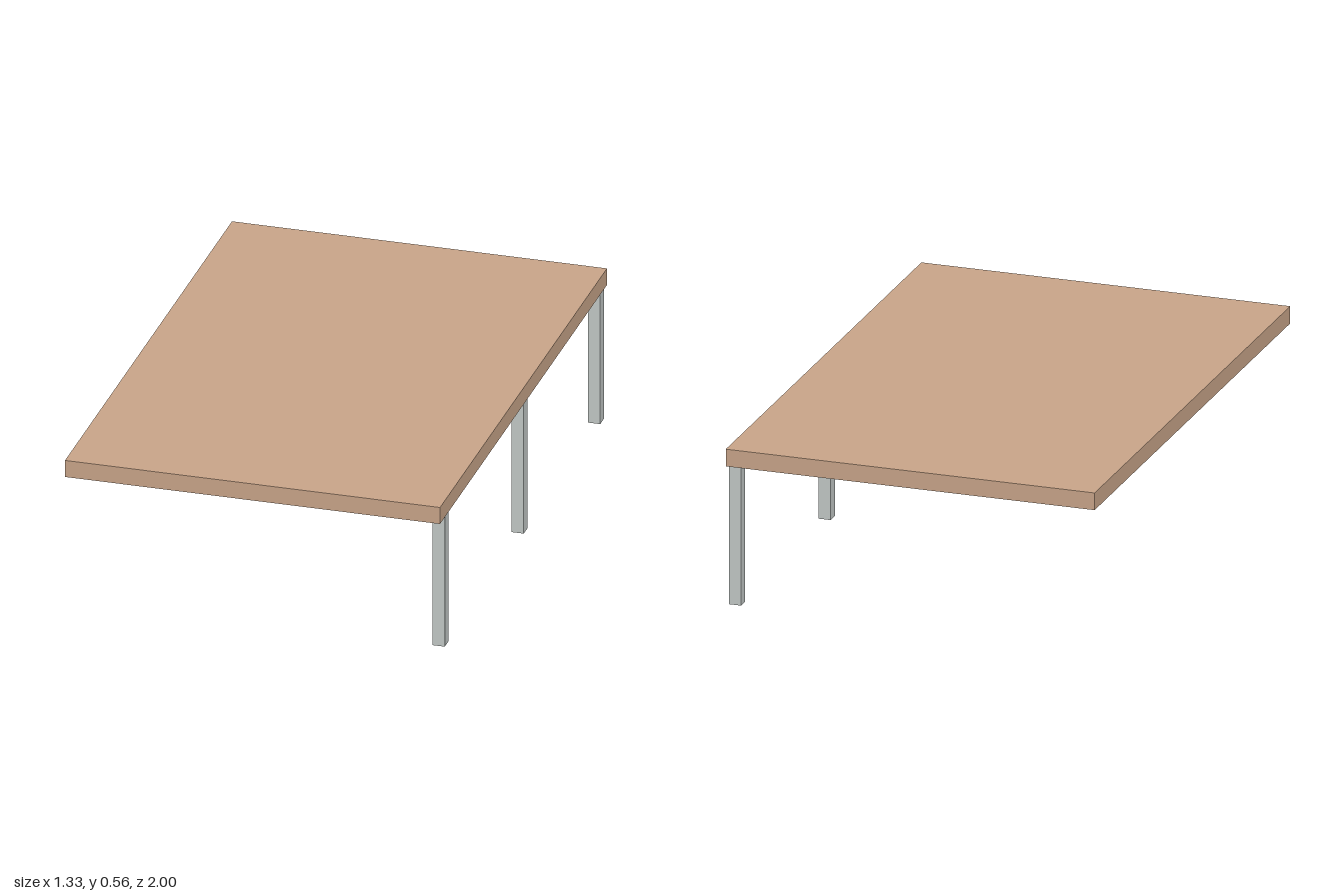
import * as THREE from 'three';

export function createModel() {
  const model = new THREE.Group();
  model.name = 'canopy';

  const wood = new THREE.MeshStandardMaterial({ color: 0xcaa68a });
  wood.name = 'light wood';
  const metal = new THREE.MeshStandardMaterial({ color: 0xc4cac8 });
  metal.name = 'pale grey metal';

  const addBox = (name, size, position, material) => {
    const mesh = new THREE.Mesh(new THREE.BoxGeometry(...size), material);
    mesh.name = name;
    mesh.position.set(...position);
    model.add(mesh);
  };

  // Flat slab
  const postHeight = 0.5, slabThickness = 0.062;
  addBox('slab', [1.33, slabThickness, 2], [0, postHeight + slabThickness / 2, 0], wood);

  // Row of square posts along the left edge
  const posts = { frontPost: 0.893, middlePost: -0.053, backPost: -0.969 };
  for (const [name, z] of Object.entries(posts)) {
    addBox(name, [0.043, postHeight, 0.043], [0.635, postHeight / 2, z], metal);
  }

  return model;
}
